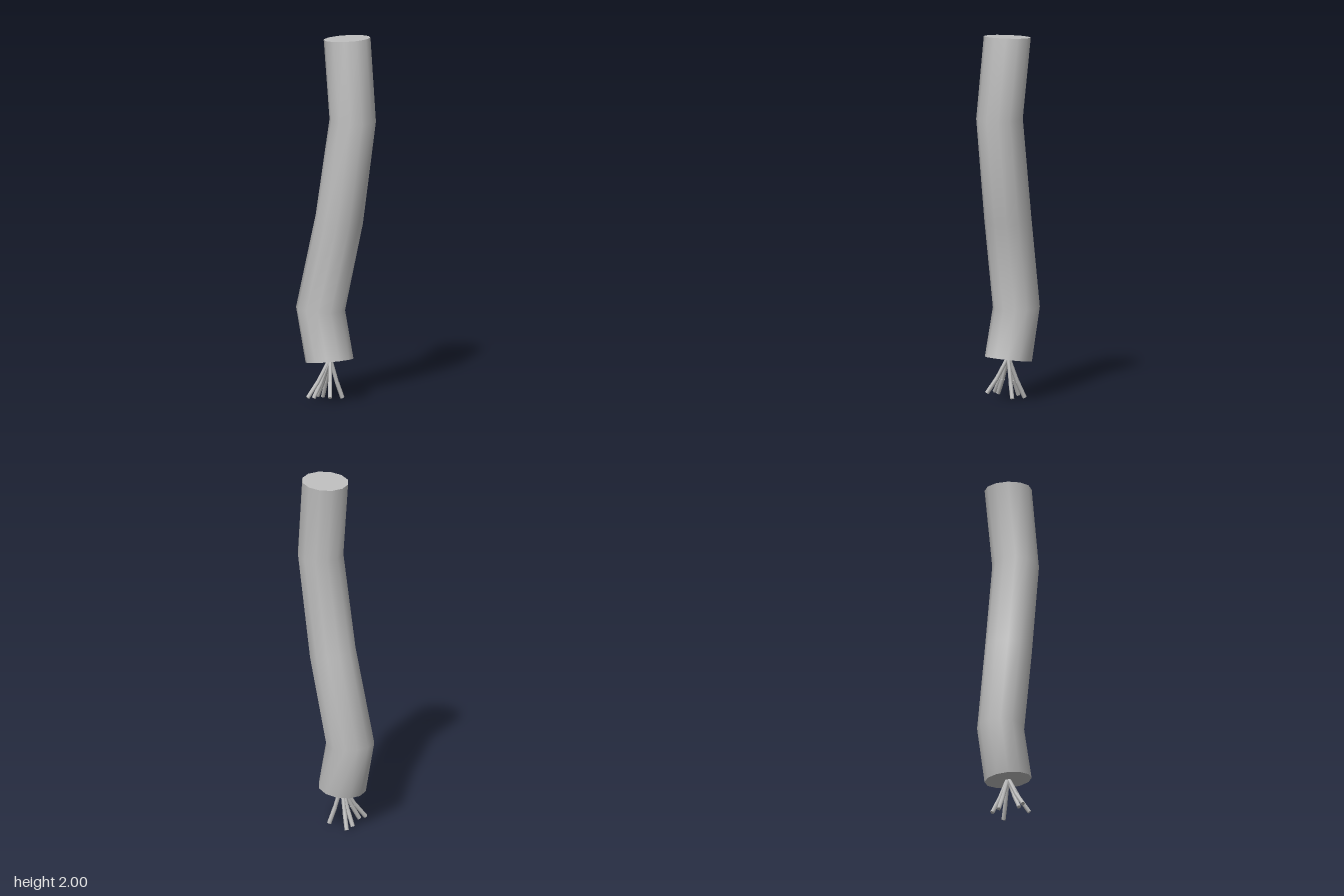
import * as THREE from 'three';
import { toCreasedNormals } from 'three/addons/utils/BufferGeometryUtils.js';

// Cross-sections from bottom to top: centre x, y, z, radius x, radius z, tilt along x and z
const rings = [
  [-0.035, 0.222, 0.0, 0.13, 0.127, 0.1, 0.1],
  [-0.088, 0.5, -0.04, 0.133, 0.127, -0.05, -0.02],
  [0.018, 1.0, 0.0, 0.128, 0.127, -0.18, -0.08],
  [0.095, 1.55, 0.04, 0.126, 0.126, -0.04, -0.02],
  [0.06, 1.99, 0.0, 0.127, 0.127, 0.06, 0.03],
];

// Bent twelve-sided stalk: a capped cylinder with each row moved to its cross-section
function stalkGeometry() {
  const geo = new THREE.CylinderGeometry(1, 1, 4, 12, 4);
  const pos = geo.attributes.position;
  for (let i = 0; i < pos.count; i++) {
    const [cx, cy, cz, rx, rz, sx, sz] = rings[Math.round(pos.getY(i) + 2)];
    const dx = pos.getX(i) * rx;
    const dz = pos.getZ(i) * rz;
    pos.setXYZ(i, cx + dx, cy + sx * dx + sz * dz, cz + dz);
  }
  return toCreasedNormals(geo, 0.75);
}

// Thin rod between two points
function rod(a, b, radius, material) {
  const dir = b.clone().sub(a);
  const geo = new THREE.CylinderGeometry(radius, radius, dir.length(), 6);
  const mesh = new THREE.Mesh(geo, material);
  mesh.position.copy(a).add(b).multiplyScalar(0.5);
  mesh.quaternion.setFromUnitVectors(new THREE.Vector3(0, 1, 0), dir.normalize());
  return mesh;
}

export function createModel() {
  const group = new THREE.Group();
  const grey = new THREE.MeshStandardMaterial({ color: 0xc0c0c0 });
  grey.name = 'grey';

  const stalk = new THREE.Mesh(stalkGeometry(), grey);
  stalk.name = 'stalk';
  group.add(stalk);

  // Frayed strands splaying out below the stalk, each with a slight bend
  const tips = [
    [-0.145, 0.03, 0.08],
    [-0.115, 0.025, 0.06],
    [-0.105, 0.018, -0.05],
    [-0.08, 0.008, -0.085],
    [-0.02, 0.038, 0.115],
    [0.032, 0.015, -0.025],
  ];
  const strands = new THREE.Group();
  strands.name = 'strands';
  const root = new THREE.Vector3(-0.032, 0.235, 0);
  tips.forEach((t, i) => {
    const tip = new THREE.Vector3(...t);
    const knee = root.clone().lerp(tip, 0.55);
    knee.y -= 0.012;
    const strand = new THREE.Group();
    strand.name = `strand${i + 1}`;
    strand.add(rod(root, knee, 0.011, grey), rod(knee, tip, 0.012, grey));
    strands.add(strand);
  });
  group.add(strands);
  return group;
}
